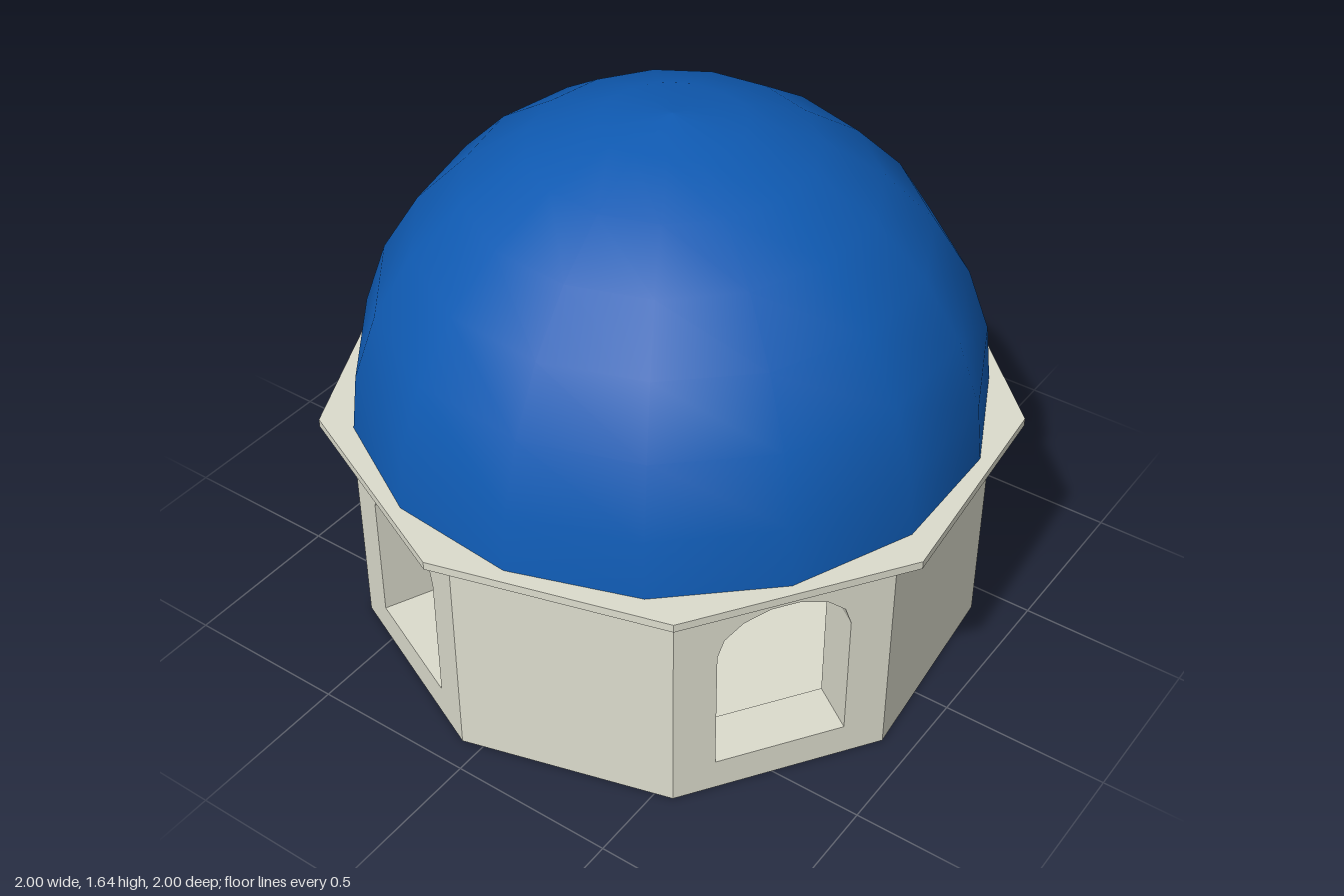
import * as THREE from 'three';

const SIDES = 9;
const STEP = (Math.PI * 2) / SIDES;
const START = THREE.MathUtils.degToRad(-14.5); // first wall corner, measured from +z towards +x
const WALL_R = 0.932;
const WALL_TOP = 0.72;
const APOTHEM = WALL_R * Math.cos(STEP / 2);
const HALF_WALL = WALL_R * Math.sin(STEP / 2);
const WINDOW_SIDES = [1, 4, 6, 8];
const REVEAL = 0.16;

const stone = new THREE.MeshStandardMaterial({ color: 0xdcdccd, flatShading: true, side: THREE.DoubleSide });
const blue = new THREE.MeshStandardMaterial({ color: 0x0f5ab2, side: THREE.DoubleSide });

// Window outline: straight jambs with a flattened, faceted arch
function archPoints() {
  const half = 0.194, sill = 0.1, spring = 0.5, rise = 0.13, segments = 7;
  const points = [new THREE.Vector2(-half, sill), new THREE.Vector2(half, sill)];
  for (let i = 0; i <= segments; i++) {
    const a = (i / segments) * Math.PI;
    points.push(new THREE.Vector2(half * Math.cos(a), spring + rise * Math.sin(a)));
  }
  return points;
}

// Band that runs inward from an outline
function revealGeometry(points, depth) {
  const positions = [];
  const index = [];
  const n = points.length;
  points.forEach((p, i) => {
    positions.push(p.x, p.y, 0, p.x, p.y, -depth);
    const a = i * 2, b = ((i + 1) % n) * 2;
    index.push(a, a + 1, b, b, a + 1, b + 1);
  });
  const geometry = new THREE.BufferGeometry();
  geometry.setAttribute('position', new THREE.Float32BufferAttribute(positions, 3));
  geometry.setIndex(index);
  geometry.computeVertexNormals();
  return geometry;
}

function addMesh(parent, name, geometry, material) {
  const mesh = new THREE.Mesh(geometry, material);
  mesh.name = name;
  parent.add(mesh);
  return mesh;
}

export function createModel() {
  const model = new THREE.Group();
  model.name = 'domedBuilding';
  const arch = archPoints();

  // Nine wall panels, four of them with arched windows
  for (let i = 0; i < SIDES; i++) {
    const side = new THREE.Group();
    side.name = 'wallSide';
    side.rotation.y = START + (i + 0.5) * STEP;
    const shape = new THREE.Shape([
      new THREE.Vector2(-HALF_WALL, 0),
      new THREE.Vector2(HALF_WALL, 0),
      new THREE.Vector2(HALF_WALL, WALL_TOP),
      new THREE.Vector2(-HALF_WALL, WALL_TOP),
    ]);
    const hasWindow = WINDOW_SIDES.includes(i);
    if (hasWindow) shape.holes.push(new THREE.Path(arch));
    addMesh(side, 'wallPanel', new THREE.ShapeGeometry(shape), stone).position.z = APOTHEM;
    if (hasWindow) {
      addMesh(side, 'windowReveal', revealGeometry(arch, REVEAL), stone).position.z = APOTHEM;
    }
    model.add(side);
  }

  // Floor
  const floor = addMesh(model, 'floor', new THREE.CircleGeometry(WALL_R, SIDES, START - Math.PI / 2), stone);
  floor.rotation.x = Math.PI / 2;
  floor.geometry.scale(1, -1, 1);
  floor.geometry.dispose();
  floor.geometry = new THREE.CylinderGeometry(WALL_R, WALL_R, 0.002, SIDES, 1, false, START);
  floor.rotation.x = 0;
  floor.position.y = 0.001;

  // Overhanging slab
  const slab = addMesh(model, 'roofSlab', new THREE.CylinderGeometry(1.021, 1.021, 0.025, SIDES, 1, false, START), stone);
  slab.position.y = WALL_TOP + 0.0125;

  // Smooth hemispherical dome, its rim sunk into the slab
  const profile = [];
  const rings = 7, domeR = 0.931;
  for (let i = 0; i <= rings; i++) {
    const a = (i / rings) * Math.PI / 2;
    profile.push(new THREE.Vector2(i === rings ? 0 : domeR * Math.cos(a), domeR * Math.sin(a)));
  }
  const dome = addMesh(model, 'dome', new THREE.LatheGeometry(profile, 15, THREE.MathUtils.degToRad(0.9 + 180)), blue);
  dome.position.y = 0.714;

  // Centre the uneven nine-sided outline
  model.position.set(0.014, 0, 0.011);
  const root = new THREE.Group();
  root.name = 'building';
  root.add(model);
  return root;
}
